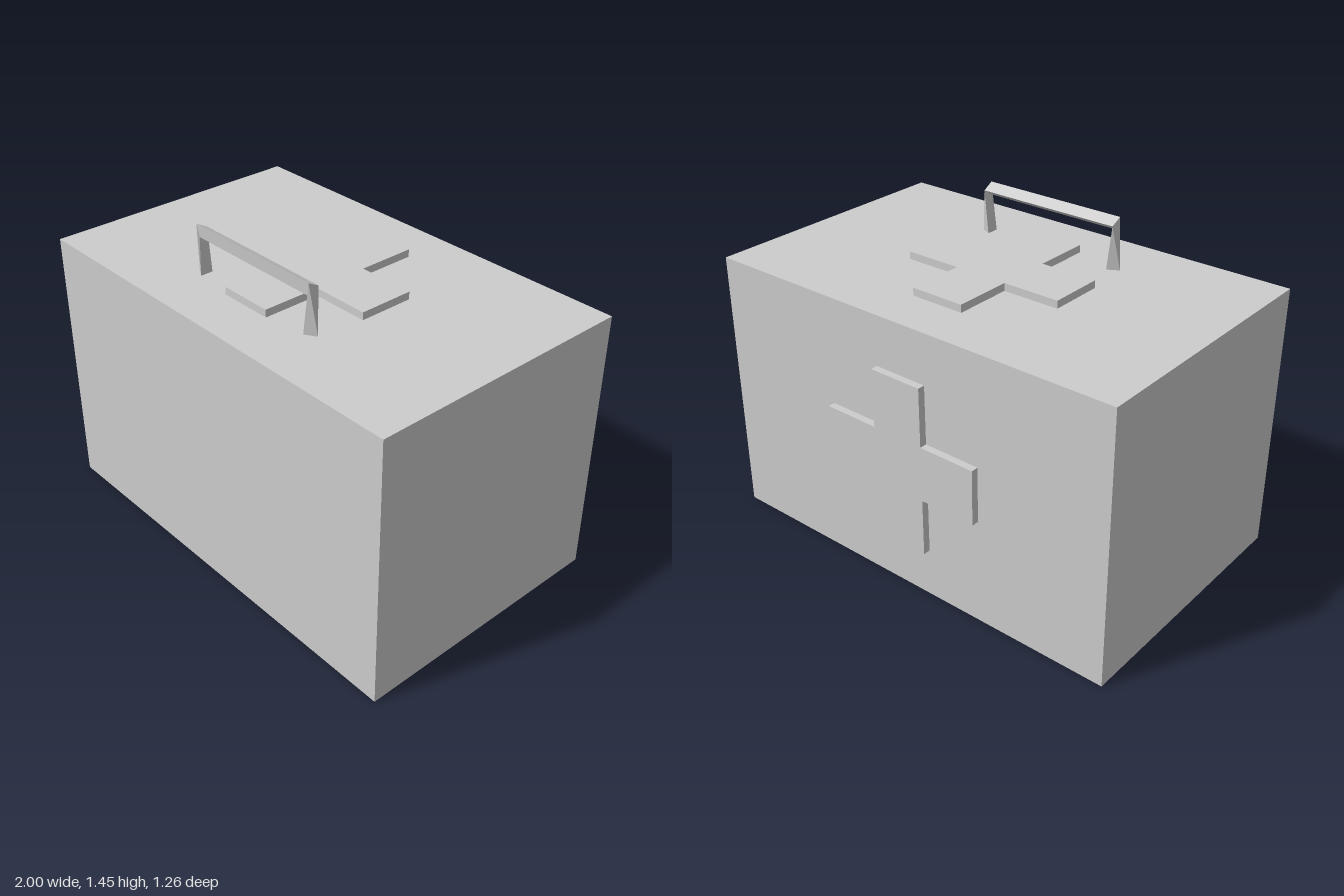
import * as THREE from 'three';

const grey = new THREE.MeshStandardMaterial({ color: 0xcccccc });
grey.name = 'light grey';

function addMesh(parent, name, geometry) {
  const mesh = new THREE.Mesh(geometry, grey);
  mesh.name = name;
  parent.add(mesh);
  return mesh;
}

// Plus-shaped plate, extruded along +z
function crossGeometry(half, arm, depth) {
  const shape = new THREE.Shape();
  const corner = [[half, -arm], [half, arm], [arm, arm]];
  const points = [];
  for (let k = 0; k < 4; k++) {
    for (const [x, y] of corner) {
      points.push(new THREE.Vector2(x, y).rotateAround(new THREE.Vector2(), k * Math.PI / 2));
    }
  }
  shape.setFromPoints(points);
  return new THREE.ExtrudeGeometry(shape, { depth, bevelEnabled: false });
}

// Three-sided handle skinned over cross-sections: foot, corner, corner, foot
function handleGeometry() {
  const foot = [[0.367, 1.225, 0.348], [0.317, 1.225, 0.378], [0.317, 1.225, 0.32]];
  const corner = [[0.338, 1.42, 0.32], [0.34, 1.447, 0.37], [0.329, 1.39, 0.365]];
  const place = (ring, side) => ring.map(([x, y, z]) => [side * x - 0.003, y, z]);
  const rings = [place(foot, -1), place(corner, -1), place(corner, 1), place(foot, 1)];
  const positions = [];
  for (let r = 0; r < 3; r++) {
    const a = rings[r], b = rings[r + 1];
    for (let i = 0; i < 3; i++) {
      const n = (i + 1) % 3;
      // The last leg mirrors the diagonals of the first
      const corners = r < 2
        ? [a[i], a[n], b[n], a[i], b[n], b[i]]
        : [a[i], a[n], b[i], a[n], b[n], b[i]];
      positions.push(...corners.flat());
    }
  }
  const geometry = new THREE.BufferGeometry();
  geometry.setAttribute('position', new THREE.Float32BufferAttribute(positions, 3));
  geometry.computeVertexNormals();
  return geometry;
}

export function createModel() {
  const model = new THREE.Group();
  model.name = 'medicalCase';

  // Case body
  addMesh(model, 'caseBody', new THREE.BoxGeometry(2, 1.225, 1.224)).position.set(0, 0.6125, 0.016);

  // Raised crosses on the lid and the back
  const cross = crossGeometry(0.388, 0.125, 0.034);
  const lidCross = addMesh(model, 'lidCross', cross);
  lidCross.rotation.x = -Math.PI / 2;
  lidCross.position.set(-0.003, 1.225, 0.013);
  const backCross = addMesh(model, 'backCross', cross);
  backCross.rotation.y = Math.PI;
  backCross.position.set(-0.003, 0.613, -0.595);

  // Carrying handle
  addMesh(model, 'handle', handleGeometry());
  return model;
}
